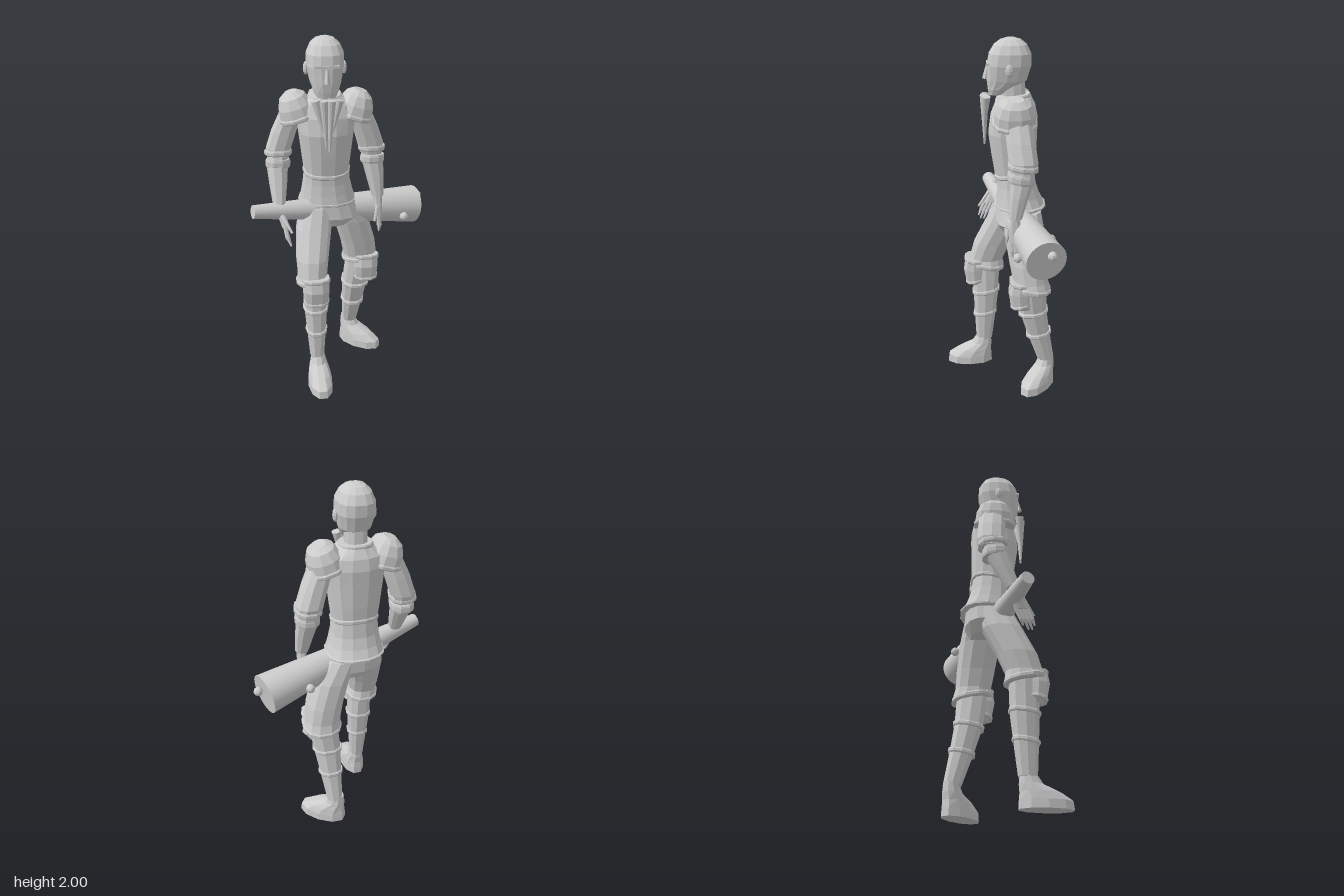
import * as THREE from 'three';

const steel = new THREE.MeshStandardMaterial({ color: 0xcccccc });
steel.name = 'pale steel';

const pw = (v, p) => Math.sign(v) * Math.abs(v) ** p;

// Faceted loft through horizontal rings [y, cx, cz, rx, rz, frontLift]
function loft(name, rings, n = 10, p = 0.85) {
  const r = [...rings].sort((a, b) => a[0] - b[0]);
  const pos = [], idx = [];
  for (const [y, cx, cz, rx, rz, lift = 0] of r) {
    for (let j = 0; j < n; j++) {
      const a = ((j + 0.5) / n) * Math.PI * 2;
      const c = pw(Math.cos(a), p);
      pos.push(cx + rx * pw(Math.sin(a), p), y + lift * c, cz + rz * c);
    }
  }
  for (let i = 0; i < r.length - 1; i++) {
    for (let j = 0; j < n; j++) {
      const a = i * n + j, b = i * n + (j + 1) % n;
      idx.push(a, b, b + n, a, b + n, a + n);
    }
  }
  const top = (r.length - 1) * n;
  for (let j = 1; j < n - 1; j++) idx.push(0, j + 1, j, top, top + j, top + j + 1);
  const g = new THREE.BufferGeometry();
  g.setAttribute('position', new THREE.Float32BufferAttribute(pos, 3));
  g.setIndex(idx);
  return solid(name, g);
}

// Flat-shaded mesh
function solid(name, geo) {
  const g = geo.index ? geo.toNonIndexed() : geo;
  g.computeVertexNormals();
  const m = new THREE.Mesh(g, steel);
  m.name = name;
  return m;
}

// Tapered rod from point a to point b
function rod(name, a, b, ra, rb, sides, smooth = false) {
  const A = new THREE.Vector3(...a), B = new THREE.Vector3(...b);
  const d = B.clone().sub(A);
  const g = new THREE.CylinderGeometry(rb, ra, d.length(), sides);
  const m = smooth ? new THREE.Mesh(g, steel) : solid(name, g);
  m.name = name;
  m.position.copy(A).add(B).multiplyScalar(0.5);
  m.quaternion.setFromUnitVectors(new THREE.Vector3(0, 1, 0), d.normalize());
  return m;
}

// Raised band around a limb or body
const band = (name, y, cx, cz, rx, rz, lift = 0, h = 0.015, n = 10) => loft(name, [
  [y - h, cx, cz, rx * 0.95, rz * 0.95, lift], [y - h * 0.5, cx, cz, rx, rz, lift],
  [y + h * 0.5, cx, cz, rx, rz, lift], [y + h, cx, cz, rx * 0.95, rz * 0.95, lift]], n);

// Faceted ellipsoid
function blob(name, x, y, z, sx, sy, sz) {
  const m = solid(name, new THREE.SphereGeometry(1, 8, 6));
  m.position.set(x, y, z);
  m.scale.set(sx, sy, sz);
  return m;
}

// Domed shoulder guard with a rolled rim, side = -1 or 1
function shoulderGuard(x, side) {
  const g = new THREE.Group();
  g.name = 'shoulderGuard';
  g.add(loft('shoulderDome', [[-0.06, 0, 0, 0.102, 0.115], [0, 0, 0, 0.092, 0.108],
    [0.05, 0, 0, 0.07, 0.085], [0.075, 0, 0, 0.035, 0.045]], 12));
  g.add(band('shoulderRim', -0.06, 0, 0, 0.108, 0.12, 0, 0.013, 12));
  g.position.set(x, 1.64, -0.078);
  g.rotation.z = -side * 0.3;
  return g;
}

// Shoe with its ankle at the local origin
function foot(x, z, turn) {
  const m = loft('shoe', [[0, 0, 0.09, 0.072, 0.142], [0.045, 0, 0.088, 0.07, 0.138],
    [0.085, 0, 0.06, 0.062, 0.105], [0.125, 0, 0.015, 0.048, 0.062],
    [0.18, 0, 0, 0.036, 0.042]], 10, 0.95);
  m.position.set(x, 0, z);
  m.rotation.y = turn;
  return m;
}

// Palm, four fingers and a thumb hanging from the wrist
function hand(wrist, tip, side) {
  const g = new THREE.Group();
  g.name = 'hand';
  const [wx, wy, wz] = wrist, dx = tip[0] - wx, dy = tip[1] - wy, dz = tip[2] - wz;
  const at = (t, ox, oz) => [wx + dx * t + ox, wy + dy * t, wz + dz * t + oz];
  g.add(loft('palm', [[wy + 0.02, wx, wz, 0.026, 0.026],
    [wy + dy * 0.2, wx + dx * 0.2, wz + dz * 0.2, 0.024, 0.038],
    [wy + dy * 0.5, wx + dx * 0.5, wz + dz * 0.5, 0.02, 0.042]], 8));
  for (let i = 0; i < 4; i++) {
    const o = (i - 1.5) * 0.02, end = i === 0 || i === 3 ? 0.9 : 1;
    g.add(rod('finger', at(0.45, 0, o), at(0.75, side * 0.006, o), 0.012, 0.011, 6));
    g.add(rod('fingertip', at(0.74, side * 0.006, o), at(end, 0, o), 0.011, 0.005, 6));
  }
  g.add(rod('thumb', at(0.15, 0, 0.025), at(0.58, -side * 0.03, 0.058), 0.014, 0.007, 6));
  return g;
}

export function createModel() {
  const root = new THREE.Group();
  root.name = 'armouredFigure';
  const add = (...m) => root.add(...m);

  // Head, face and neck
  const hx = -0.085;
  add(loft('head', [[1.705, hx, 0.025, 0.05, 0.036], [1.735, hx, 0.005, 0.066, 0.062],
    [1.78, hx, -0.035, 0.083, 0.108], [1.86, hx, -0.047, 0.1, 0.12],
    [1.92, hx, -0.052, 0.098, 0.114], [1.965, hx, -0.054, 0.078, 0.088],
    [1.99, hx, -0.055, 0.05, 0.055], [2, hx, -0.055, 0.022, 0.025]], 14, 0.8));
  add(loft('neck', [[1.62, hx, -0.08, 0.075, 0.075], [1.7, hx, -0.075, 0.06, 0.065],
    [1.8, hx, -0.065, 0.06, 0.068]], 10));
  add(rod('nose', [hx, 1.785, 0.08], [hx, 1.86, 0.068], 0.016, 0.007, 4));
  const brow = solid('brow', new THREE.BoxGeometry(0.125, 0.012, 0.02));
  brow.position.set(hx, 1.868, 0.064);
  add(brow);
  for (const s of [-1, 1]) add(blob('ear', hx + s * 0.1, 1.84, -0.05, 0.014, 0.035, 0.022));

  // Beard of four hanging tapered locks
  [[-0.145, 1.53], [-0.105, 1.44], [-0.065, 1.43], [-0.025, 1.53]].forEach(([x, y], i) => {
    const z = i % 3 ? 0.084 : 0.075;
    add(rod('beardLock', [hx + (x - hx) * 0.4, y, 0.085], [x, 1.7, z], 0.005, 0.025, 12));
  });

  // Torso: tunic skirt and breastplate
  add(loft('tunic', [[1.08, -0.075, -0.113, 0.162, 0.142], [1.14, -0.078, -0.1, 0.145, 0.122],
    [1.2, -0.08, -0.092, 0.133, 0.11], [1.3, -0.08, -0.085, 0.122, 0.105]], 14));
  add(loft('breastplate', [[1.275, -0.08, -0.083, 0.126, 0.112, -0.02],
    [1.38, -0.08, -0.075, 0.138, 0.125], [1.5, -0.08, -0.068, 0.152, 0.135],
    [1.59, -0.08, -0.075, 0.16, 0.13], [1.65, -0.08, -0.08, 0.145, 0.112],
    [1.695, -0.083, -0.075, 0.085, 0.09]], 14));
  add(band('breastplateHem', 1.275, -0.08, -0.083, 0.132, 0.118, -0.022, 0.014, 14));
  add(band('collar', 1.69, hx, -0.073, 0.09, 0.092, -0.008, 0.014, 14));
  add(band('tunicHem', 1.085, -0.075, -0.113, 0.164, 0.144, 0, 0.01, 14));

  // Hips and trousers
  add(loft('hips', [[0.95, -0.055, -0.095, 0.1, 0.1], [1.0, -0.055, -0.1, 0.17, 0.128],
    [1.1, -0.07, -0.105, 0.145, 0.125]], 14));
  add(loft('rightTrouser', [[1.07, -0.14, -0.07, 0.088, 0.1], [0.95, -0.16, -0.025, 0.1, 0.11],
    [0.8, -0.178, 0.05, 0.093, 0.108], [0.7, -0.182, 0.085, 0.083, 0.1],
    [0.655, -0.178, 0.09, 0.095, 0.112, 0.015]], 12));
  add(loft('leftTrouser', [[1.07, 0.0, -0.12, 0.095, 0.11], [0.95, 0.062, -0.138, 0.103, 0.115],
    [0.8, 0.105, -0.158, 0.103, 0.108], [0.7, 0.122, -0.17, 0.1, 0.1],
    [0.65, 0.128, -0.175, 0.11, 0.112, 0.015]], 12));
  add(band('rightTrouserCuff', 0.665, -0.178, 0.09, 0.098, 0.114, 0.02, 0.014, 12));
  add(band('leftTrouserCuff', 0.66, 0.127, -0.174, 0.112, 0.114, 0.02, 0.014, 12));

  // Shin armour: overlapping flared plates
  const shin = (name, pts) => {
    for (let i = 0; i < pts.length - 1; i++) {
      const [y, x, z, rx, rz] = pts[i], b = pts[i + 1];
      add(loft(name, [[y, x, z, rx, rz], b], 10));
      if (i) add(band(name + 'Band', y, x, z, rx + 0.008, rz + 0.008, -0.012, 0.013));
    }
  };
  shin('rightShin', [[0.68, -0.172, 0.085, 0.068, 0.083], [0.49, -0.166, 0.087, 0.067, 0.078],
    [0.34, -0.164, 0.093, 0.056, 0.066], [0.16, -0.163, 0.1, 0.042, 0.05]]);
  shin('leftShin', [[0.68, 0.123, -0.17, 0.083, 0.09], [0.49, 0.1, -0.19, 0.078, 0.08],
    [0.34, 0.088, -0.224, 0.064, 0.067], [0.16, 0.076, -0.27, 0.046, 0.05]]);

  // Knee guards
  for (const [name, x, z] of [['rightKneeGuard', -0.165, 0.15], ['leftKneeGuard', 0.152, -0.115]]) {
    add(loft(name, [[0.535, x, z - 0.015, 0.045, 0.045], [0.565, x, z, 0.07, 0.056],
      [0.64, x, z + 0.006, 0.075, 0.064], [0.7, x, z, 0.073, 0.06]], 10, 0.75));
    add(band(name + 'Rim', 0.695, x, z, 0.08, 0.066, 0.01, 0.012));
    add(band(name + 'LowerRim', 0.565, x, z, 0.075, 0.06, -0.01, 0.01));
  }
  add(foot(-0.16, 0.1, 0.06), foot(0.065, -0.275, 0.93));

  // Shoulders, arms and cuffs
  add(shoulderGuard(-0.245, -1), shoulderGuard(0.085, 1));
  add(loft('rightUpperArm', [[1.63, -0.255, -0.09, 0.06, 0.075], [1.5, -0.305, -0.1, 0.07, 0.078],
    [1.4, -0.338, -0.105, 0.07, 0.078], [1.35, -0.342, -0.1, 0.063, 0.07]], 10));
  add(loft('leftUpperArm', [[1.63, 0.09, -0.09, 0.06, 0.075], [1.5, 0.138, -0.108, 0.07, 0.078],
    [1.4, 0.17, -0.122, 0.073, 0.08], [1.35, 0.175, -0.122, 0.064, 0.07]], 10));
  add(loft('rightForearm', [[1.4, -0.342, -0.1, 0.055, 0.06], [1.3, -0.35, -0.07, 0.058, 0.062],
    [1.22, -0.35, -0.035, 0.05, 0.052], [1.11, -0.35, 0.015, 0.035, 0.037]], 10));
  add(loft('leftForearm', [[1.4, 0.172, -0.122, 0.055, 0.06], [1.3, 0.182, -0.115, 0.06, 0.062],
    [1.22, 0.195, -0.1, 0.052, 0.052], [1.1, 0.21, -0.08, 0.035, 0.037]], 10));
  for (const [name, x, z, s] of [['rightElbowCuff', -0.342, -0.095, 1], ['leftElbowCuff', 0.177, -0.12, -1]]) {
    add(band(name, 1.375, x, z, 0.076, 0.083, 0.01, 0.015));
    add(band(name + 'Lower', 1.315, x - s * 0.004, z + 0.012, 0.068, 0.072, 0.01, 0.024));
  }
  add(hand([-0.35, 1.1, 0.02], [-0.295, 0.9, 0.11], -1));
  add(hand([0.21, 1.08, -0.078], [0.225, 0.86, -0.1], 1));

  // Heavy tapered club with round studs
  const club = new THREE.Group();
  club.name = 'club';
  club.add(rod('clubShaft', [-0.495, 1.097, 0.075], [0.447, 0.96, -0.236], 0.037, 0.11, 32, true));
  for (const [x, y, z] of [[0.483, 1.005, -0.263], [0.372, 0.945, -0.092], [0.207, 0.98, -0.274]]) {
    club.add(blob('stud', x, y, z, 0.025, 0.025, 0.025));
  }
  add(club);
  return root;
}
